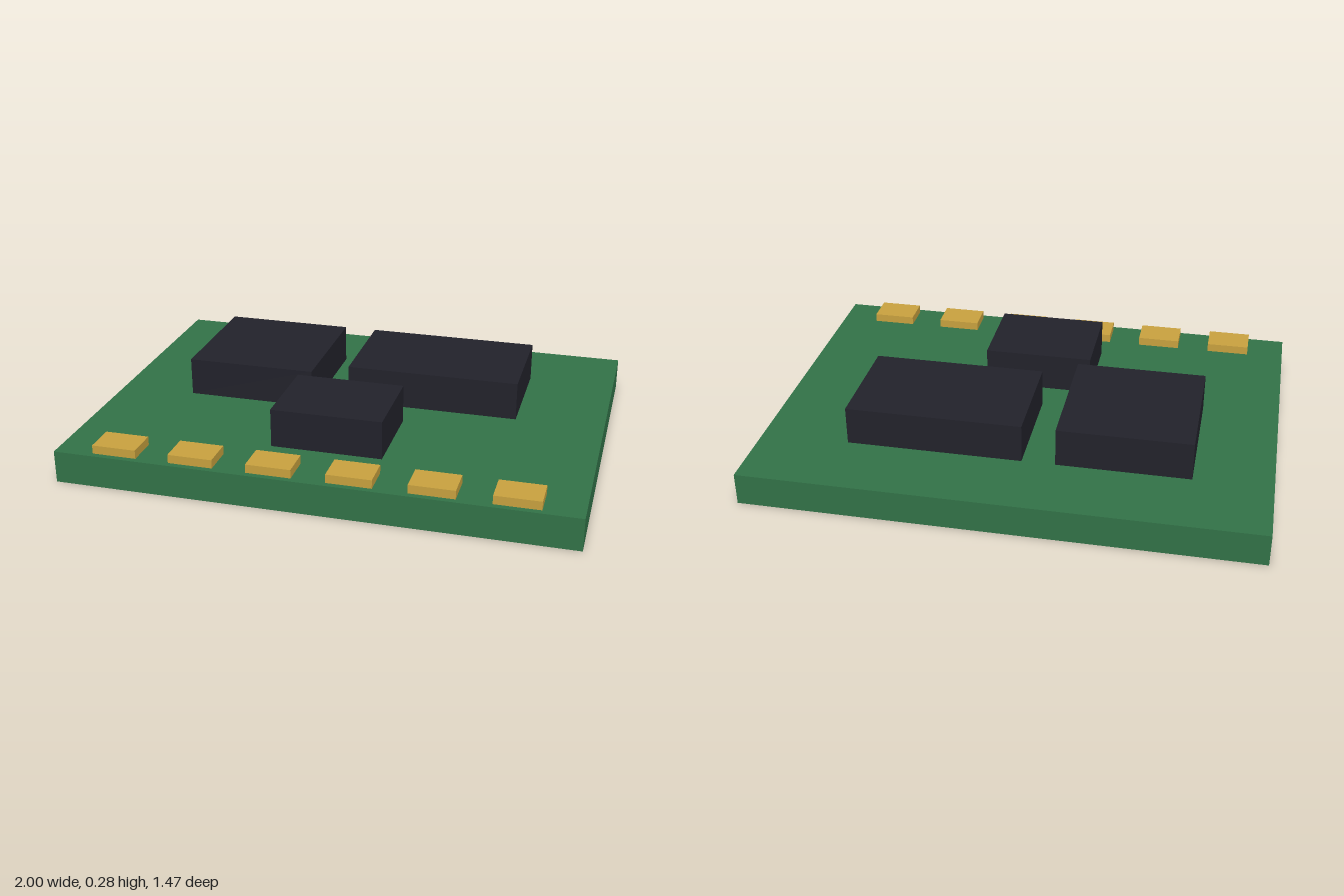
import * as THREE from 'three';

export function createModel() {
  const group = new THREE.Group();
  const material = (name, color, side = THREE.FrontSide) => {
    const m = new THREE.MeshStandardMaterial({ color, side });
    m.name = name;
    return m;
  };
  const green = material('boardGreen', 0x327348, THREE.DoubleSide);
  const black = material('chipBlack', 0x22222b);
  const gold = material('contactGold', 0xc9a23f);
  const top = 0.128;

  // Box resting on y, spanning the given x and z ranges
  const addBlock = (name, mat, x0, x1, z0, z1, y, h) => {
    const geo = new THREE.BoxGeometry(x1 - x0, h, z1 - z0);
    const mesh = new THREE.Mesh(geo, mat);
    mesh.name = name;
    mesh.position.set((x0 + x1) / 2, y + h / 2, (z0 + z1) / 2);
    group.add(mesh);
    return mesh;
  };

  // Board: thin-walled shell, open underneath (bottom face of the box removed)
  const board = addBlock('board', green, -1, 1, -0.737, 0.737, 0, top);
  const index = Array.from(board.geometry.index.array);
  index.splice(18, 6);
  board.geometry.setIndex(index);
  board.geometry.clearGroups();

  // Chips
  const chipHeight = 0.153;
  addBlock('squareChip', black, -0.695, -0.174, -0.437, 0.088, top, chipHeight);
  addBlock('wideChip', black, -0.043, 0.65, -0.437, -0.002, top, chipHeight);
  addBlock('smallChip', black, -0.218, 0.218, 0.13, 0.479, top, chipHeight);

  // Row of contacts along the front edge
  for (let i = 0; i < 6; i++) {
    const x = (i - 2.5) * 0.305;
    addBlock(`contact${i + 1}`, gold, x - 0.087, x + 0.087, 0.589, 0.714, top, 0.034);
  }
  return group;
}
